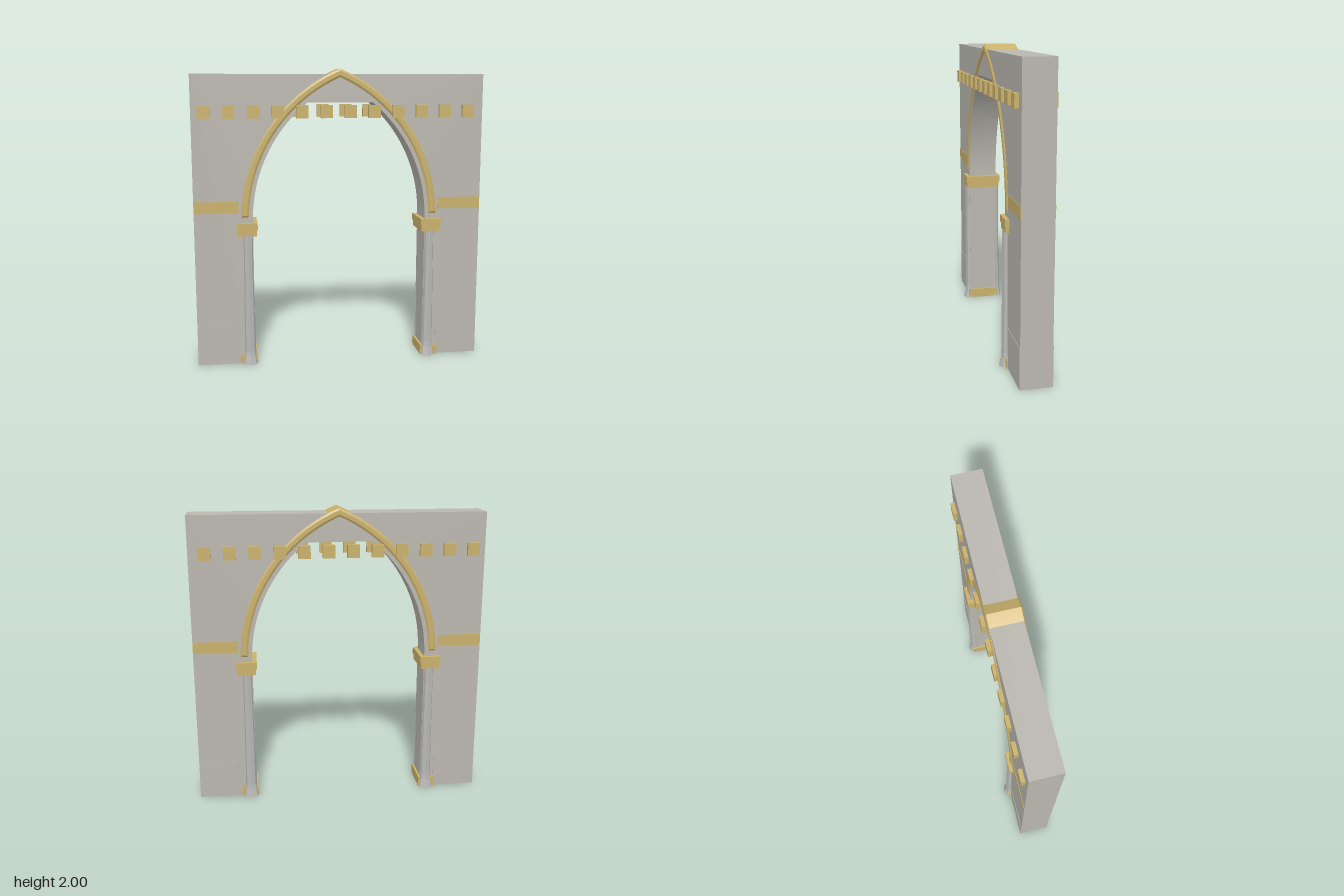
import * as THREE from 'three';
import { toCreasedNormals } from 'three/addons/utils/BufferGeometryUtils.js';

const ARC_X = -0.416, SPRING = 1.0; // centre of the right-hand arc

const stone = new THREE.MeshStandardMaterial({ name: 'wallStone', color: 0xbab7af });
const gold = new THREE.MeshStandardMaterial({ name: 'goldTrim', color: 0xc9b06b });
const shaftStone = new THREE.MeshStandardMaterial({ name: 'columnStone', color: 0xb8b8b6, flatShading: true });

// Points along the right half of the pointed arch, from a0 up to a1
function arcPoints(radius, a0, a1, n = 20) {
  return Array.from({ length: n + 1 }, (_, i) => {
    const a = a0 + (a1 - a0) * i / n;
    return new THREE.Vector2(ARC_X + radius * Math.cos(a), SPRING + radius * Math.sin(a));
  });
}
const mirrored = (pts) => pts.map((p) => new THREE.Vector2(-p.x, p.y)).reverse();
const apexAngle = (radius) => Math.acos(-ARC_X / radius);

export function createModel() {
  const model = new THREE.Group();
  model.name = 'archedGateway';

  function add(name, geometry, material, x = 0, y = 0, z = 0) {
    const mesh = new THREE.Mesh(geometry, material);
    mesh.name = name;
    mesh.position.set(x, y, z);
    model.add(mesh);
    return mesh;
  }
  // Box given by its limits
  function box(name, material, x0, x1, y0, y1, z0, z1) {
    return add(name, new THREE.BoxGeometry(x1 - x0, y1 - y0, z1 - z0), material,
      (x0 + x1) / 2, (y0 + y1) / 2, (z0 + z1) / 2);
  }

  // Wall with an arched opening cut flat at the crown
  const openR = 1.006;
  const opening = arcPoints(openR, 0, Math.asin(0.78 / openR));
  const wallShape = new THREE.Shape([
    new THREE.Vector2(0.98, 0), new THREE.Vector2(0.98, 1.965),
    new THREE.Vector2(-0.98, 1.965), new THREE.Vector2(-0.98, 0),
    new THREE.Vector2(-0.59, 0), ...mirrored(opening).reverse(),
    ...opening.slice().reverse(), new THREE.Vector2(0.59, 0),
  ]);
  const wallGeo = new THREE.ExtrudeGeometry(wallShape, { depth: 0.204, bevelEnabled: false });
  wallGeo.translate(0, 0, -0.102);
  add('wall', toCreasedNormals(wallGeo, 0.4), stone);

  // Bevelled pointed archivolt running through the wall
  const outer = arcPoints(1.083, 0.019, apexAngle(1.083));
  const inner = arcPoints(1.032, 0.02, apexAngle(1.032));
  const archShape = new THREE.Shape([
    ...outer, ...mirrored(outer).slice(1),
    ...mirrored(inner).reverse(), ...inner.slice(0, -1).reverse(),
  ]);
  const archGeo = new THREE.ExtrudeGeometry(archShape, {
    depth: 0.206, bevelEnabled: true, bevelSegments: 1,
    bevelSize: 0.013, bevelThickness: 0.008, bevelOffset: -0.013,
  });
  archGeo.translate(0, 0, -0.103);
  add('archivolt', toCreasedNormals(archGeo, 0.4), gold);

  // Column profile: flared foot and slightly tapering shaft
  const profile = [[0, 0], [0.056, 0], [0.043, 0.06], [0.04, 0.09], [0.035, 0.6], [0.034, 0.9], [0, 0.9]]
    .map(([r, y]) => new THREE.Vector2(r, y));
  const columnGeo = new THREE.LatheGeometry(profile, 8);

  for (const side of [-1, 1]) {
    const sideBox = (name, mat, a, b, y0, y1, z0, z1) =>
      box(name, mat, Math.min(side * a, side * b), Math.max(side * a, side * b), y0, y1, z0, z1);

    // Capital and base blocks wrapping each jamb
    sideBox('capitalTop', gold, 0.56, 0.70, 0.937, 0.983, -0.128, 0.128);
    sideBox('capitalLower', gold, 0.567, 0.692, 0.895, 0.937, -0.122, 0.122);
    sideBox('jambBase', gold, 0.575, 0.69, 0.001, 0.068, -0.115, 0.115);

    for (const face of [-1, 1]) {
      add('column', columnGeo, shaftStone, side * 0.625, 0, face * 0.094);

      // Thin string course and plinth on the wall faces
      const [z0, z1] = face > 0 ? [0.1, 0.105] : [-0.105, -0.1];
      sideBox('stringCourse', gold, 0.683, 0.979, 1.052, 1.13, z0, z1);
      sideBox('plinth', stone, 0.683, 0.979, 0.001, 0.27, z0, z1);
    }
  }

  // Row of square blocks across both faces
  for (const face of [-1, 1]) {
    for (let i = 0; i < 12; i++) {
      add('dentilBlock', new THREE.BoxGeometry(0.08, 0.085, 0.034), gold,
        -0.897 + i * 0.161, 1.72, face * 0.111);
    }
  }
  return model;
}
